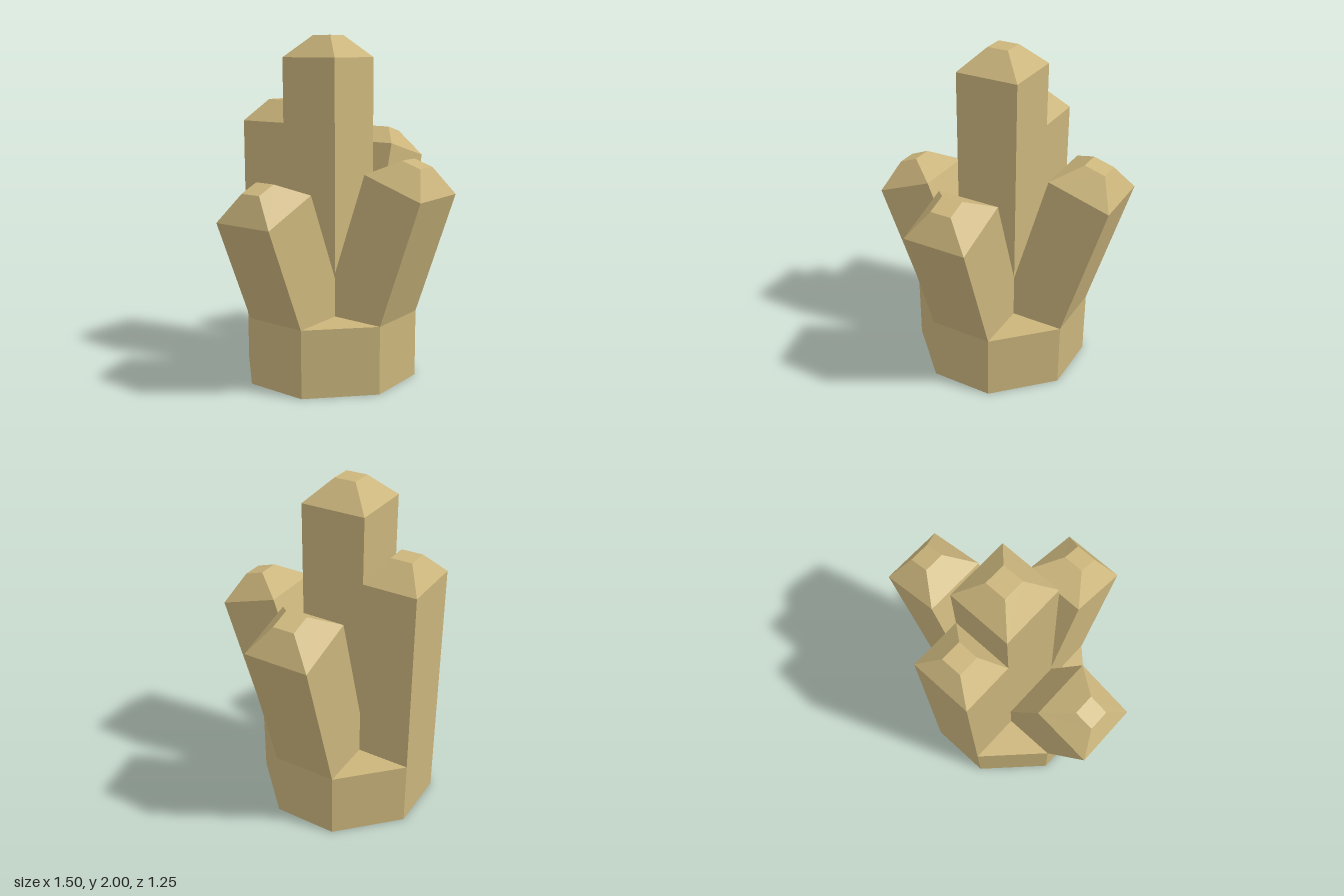
import * as THREE from 'three';

const A = 0.1875;      // half width of every crystal
const R = 0.5;         // outer radius of the base
const H = 0.4;         // base height
const TIP = 0.0625;    // half width of the small facet on each tip

const material = new THREE.MeshStandardMaterial({
  color: 0xcbb57c, flatShading: true, side: THREE.DoubleSide,
});

// Mesh from convex polygons, corners counter-clockwise seen from outside
function facets(name, polygons) {
  const pos = [];
  for (const p of polygons)
    for (let i = 1; i < p.length - 1; i++) pos.push(...p[0], ...p[i], ...p[i + 1]);
  const g = new THREE.BufferGeometry();
  g.setAttribute('position', new THREE.Float32BufferAttribute(pos, 3));
  g.computeVertexNormals();
  const mesh = new THREE.Mesh(g, material);
  mesh.name = name;
  return mesh;
}

// Strip across the width between profile points p and q ([radius, height])
const strip = (p, q, wp = A, wq = A) => [
  [-wp, p[1], p[0]], [wp, p[1], p[0]], [wq, q[1], q[0]], [-wq, q[1], q[0]],
];

// Side polygon and its mirror image
function sides(points) {
  const right = points.map(([w, r, y]) => [w, y, r]);
  const left = points.map(([w, r, y]) => [-w, y, r]).reverse();
  return [right, left];
}

// Each crystal: outer and inner shoulder, outer and inner tip,
// and the point where its inner face leaves the central crystal
const crystals = [
  { name: 'frontCrystal', turn: 0, outer: [0.75, 1.125], inner: [0.39, 1.245],
    tipOuter: [0.67, 1.285], tipInner: [0.553, 1.323], bend: [A, 0.66] },
  { name: 'leftCrystal', turn: 1, outer: [0.745, 1.25], inner: [0.387, 1.355],
    tipOuter: [0.66, 1.405], tipInner: [0.54, 1.44], bend: [A, 0.66] },
  { name: 'backCrystal', turn: 2, outer: [R, 1.5], inner: [A, 1.5],
    tipOuter: [0.405, 1.625], tipInner: [0.28, 1.625] },
  { name: 'rightCrystal', turn: 3, outer: [0.75, 1.0], inner: [0.402, 1.14],
    tipOuter: [0.68, 1.162], tipInner: [0.565, 1.21], bend: [A, 0.625] },
];

function sideCrystal({ name, outer, inner, tipOuter, tipInner, bend }) {
  const foot = [R, H];
  const profile = [foot, [A, H], ...(bend ? [bend] : []), inner, outer];
  const polygons = [
    strip(foot, outer),
    strip(outer, tipOuter, A, TIP),
    strip(tipOuter, tipInner, TIP, TIP),
    strip(tipInner, inner, TIP, A),
    ...sides(profile.map((p) => [A, ...p])),
    ...sides([[A, ...outer], [A, ...inner], [TIP, ...tipInner], [TIP, ...tipOuter]]),
  ];
  if (bend) polygons.push(strip(inner, bend));
  return facets(name, polygons);
}

export function createModel() {
  const group = new THREE.Group();
  group.name = 'crystalCluster';
  const cluster = new THREE.Group();
  cluster.name = 'crystals';
  cluster.position.z = -0.125;
  group.add(cluster);

  for (const c of crystals) {
    const quarter = new THREE.Group();
    quarter.name = c.name + 'Quarter';
    quarter.rotation.y = c.turn * Math.PI / 2;

    // Leaning or upright outer crystal
    quarter.add(sideCrystal(c));

    // One wall and tip facet of the central crystal
    const start = (c.bend ?? c.inner)[1];
    quarter.add(facets('centralCrystal', [
      strip([A, start], [A, 1.875]),
      strip([A, 1.875], [TIP, 2], A, TIP),
      [[-TIP, 2, TIP], [TIP, 2, TIP], [0, 2, 0]],
    ]));

    // Open-bottomed base: straight wall, diagonal wall, corner ledge
    quarter.add(facets('base', [
      strip([R, 0], [R, H]),
      [[A, 0, R], [R, 0, A], [R, H, A], [A, H, R]],
      [[A, H, R], [R, H, A], [A, H, A]],
    ]));

    cluster.add(quarter);
  }
  return group;
}
